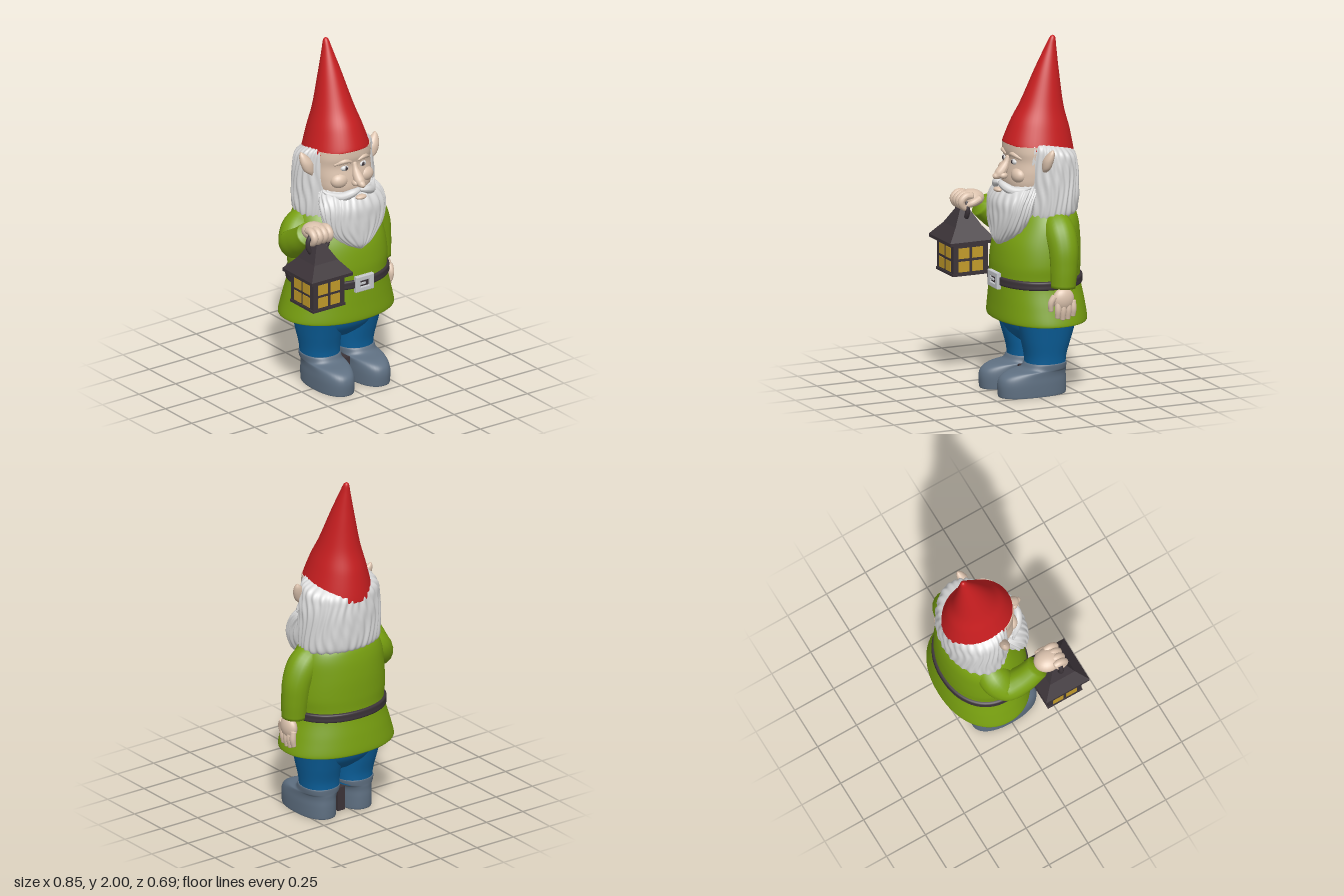
import * as THREE from 'three';

const mat = (name, color) => {
  const m = new THREE.MeshStandardMaterial({ color });
  m.name = name;
  return m;
};
const CX = 0.047; // the figure's own middle line

// Catmull-Rom blend of whole rows of numbers
function blend(rows, t) {
  const f = t * (rows.length - 1), i = Math.min(Math.floor(f), rows.length - 2), u = f - i;
  const at = k => rows[Math.max(0, Math.min(rows.length - 1, k))];
  return rows[i].map((b, k) => {
    const a = at(i - 1)[k], c = at(i + 1)[k], d = at(i + 2)[k];
    return b + 0.5 * u * (c - a + u * (2 * a - 5 * b + 4 * c - d + u * (3 * (b - c) + d - a)));
  });
}

// Skin over horizontal rings [y, centreX, centreZ, radiusX, radiusZ, slope], with flat end caps
function loft(rings, { seg = 48, rows = 32, power = 2, ripple = () => 1 } = {}) {
  const pos = [], idx = [];
  const se = v => Math.sign(v) * Math.pow(Math.abs(v), 2 / power);
  const addRing = t => {
    const [y, cx, cz, rx, rz, slope = 0] = blend(rings, t);
    for (let j = 0; j < seg; j++) {
      const a = j / seg * Math.PI * 2, k = ripple(a, y);
      const z = rz * se(Math.sin(a)) * k;
      pos.push(cx + rx * se(Math.cos(a)) * k, y + slope * z, cz + z);
    }
    return [cx, y, cz];
  };
  for (let i = 0; i <= rows; i++) addRing(i / rows);
  for (let i = 0; i < rows; i++) for (let j = 0; j < seg; j++) {
    const a = i * seg + j, b = i * seg + (j + 1) % seg;
    idx.push(a, a + seg, b, b, a + seg, b + seg);
  }
  for (const end of [0, 1]) {
    const start = pos.length / 3;
    pos.push(...addRing(end));
    for (let j = 0; j < seg; j++) {
      const a = start + j, b = start + (j + 1) % seg, c = start + seg;
      end ? idx.push(c, b, a) : idx.push(c, a, b);
    }
  }
  const g = new THREE.BufferGeometry();
  g.setAttribute('position', new THREE.Float32BufferAttribute(pos, 3));
  g.setIndex(idx);
  g.computeVertexNormals();
  return g;
}

// Tube through [x, y, z, radius] points, closed by small end rows
function limb(points) {
  const curve = new THREE.CatmullRomCurve3(points.map(p => new THREE.Vector3(...p)));
  const n = 28, sides = 18, g = new THREE.TubeGeometry(curve, n, 1, sides), p = g.attributes.position;
  const v = new THREE.Vector3();
  for (let i = 0; i <= n; i++) {
    const c = curve.getPointAt(i / n);
    const r = i === 0 || i === n ? 0.002 : blend(points.map(q => [q[3]]), i / n)[0];
    for (let j = 0; j <= sides; j++) {
      const k = i * (sides + 1) + j;
      v.fromBufferAttribute(p, k).sub(c).multiplyScalar(r).add(c);
      p.setXYZ(k, v.x, v.y, v.z);
    }
  }
  g.computeVertexNormals();
  return g;
}

export function createModel() {
  const model = new THREE.Group();
  model.name = 'gardenGnome';
  const red = mat('hatRed', 0xc81e20), green = mat('tunicGreen', 0x78a010), blue = mat('trouserBlue', 0x0b5f9a);
  const grey = mat('bootGrey', 0x5f7082), dark = mat('darkBrown', 0x3c3439), yellow = mat('lampYellow', 0xc49c2a);
  const skin = mat('skin', 0xdcc3ae), white = mat('hairWhite', 0xd9d9d9), silver = mat('buckleSilver', 0xc6c8cc);
  const add = (name, g, m, parent = model) => {
    const mesh = new THREE.Mesh(g, m);
    mesh.name = name;
    parent.add(mesh);
    return mesh;
  };
  const ball = (name, m, [x, y, z], [sx, sy, sz]) => {
    const mesh = add(name, new THREE.SphereGeometry(1, 24, 16), m);
    mesh.position.set(x, y, z);
    mesh.scale.set(sx, sy, sz);
    return mesh;
  };

  // Hat leaning back to its tip
  add('hat', loft([
    [1.385, CX, -0.0975, 0.17, 0.185, 0.25], [1.37, CX, -0.0975, 0.187, 0.203, 0.25],
    [1.5, CX, -0.107, 0.15, 0.168, 0.18], [1.62, CX, -0.118, 0.112, 0.122, 0.1], [1.8, CX, -0.145, 0.065, 0.072, 0],
    [1.93, CX, -0.171, 0.03, 0.034, 0], [1.985, CX, -0.183, 0.016, 0.017, 0], [2, CX, -0.185, 0.003, 0.003, 0],
  ], { rows: 56 }), red);

  // Hair and beard with wavy strands
  const strands = (n, depth) => (a, y) =>
    1 + depth * Math.sin(a * n + 2.2 * Math.sin(y * 17 + a * 3)) + depth * 0.5 * Math.sin(a * (n - 9) + y * 20);
  add('hair', loft([
    [1.0, 0.052, -0.12, 0.2, 0.15, -0.1], [1.035, 0.052, -0.125, 0.245, 0.176, -0.1], [1.2, 0.052, -0.127, 0.248, 0.18, 0],
    [1.32, 0.052, -0.126, 0.24, 0.174, 0.15], [1.385, 0.052, -0.124, 0.218, 0.166, 0.25], [1.42, 0.052, -0.12, 0.14, 0.14, 0.25],
  ], { seg: 200, rows: 48, ripple: strands(30, 0.018) }), white);
  add('beard', loft([
    [0.845, CX, 0.125, 0.02, 0.03], [0.88, CX, 0.11, 0.09, 0.065], [0.95, CX, 0.095, 0.165, 0.085],
    [1.03, CX, 0.08, 0.2, 0.1], [1.1, CX, 0.065, 0.205, 0.108], [1.16, CX, 0.035, 0.19, 0.1], [1.195, CX, 0.0, 0.15, 0.075],
  ], { seg: 160, rows: 48, ripple: strands(26, 0.025) }), white);

  // Face
  add('face', loft([
    [1.08, CX, -0.08, 0.13, 0.14], [1.18, CX, -0.075, 0.168, 0.175], [1.25, CX, -0.075, 0.178, 0.174],
    [1.32, CX, -0.075, 0.176, 0.162], [1.37, CX, -0.075, 0.176, 0.17], [1.41, CX, -0.075, 0.172, 0.17],
  ], { power: 2.5 }), skin);
  add('nose', limb([
    [CX, 1.345, 0.085, 0.012], [CX, 1.3, 0.1, 0.018], [CX, 1.255, 0.13, 0.028], [CX, 1.235, 0.155, 0.028], [CX, 1.228, 0.182, 0.012],
  ]), skin);
  ball('lowerLip', skin, [CX, 1.155, 0.15], [0.035, 0.014, 0.022]);
  for (const s of [-1, 1]) {
    const side = s > 0 ? 'left' : 'right', X = d => CX + s * d;
    ball(side + 'Nostril', skin, [X(0.022), 1.235, 0.125], [0.018, 0.018, 0.024]);
    ball(side + 'Cheek', skin, [X(0.085), 1.245, 0.062], [0.055, 0.045, 0.042]);
    ball(side + 'Eye', white, [X(0.06), 1.318, 0.076], [0.026, 0.017, 0.018]);
    ball(side + 'Iris', dark, [X(0.058), 1.318, 0.088], [0.011, 0.012, 0.008]);
    add(side + 'Brow', limb([
      [X(0.02), 1.348, 0.088, 0.008], [X(0.06), 1.362, 0.088, 0.014], [X(0.12), 1.34, 0.055, 0.008],
    ]), skin);
    add(side + 'Moustache', limb([
      [X(-0.003), 1.197, 0.135, 0.014], [X(0.04), 1.188, 0.14, 0.023], [X(0.1), 1.163, 0.105, 0.025],
      [X(0.15), 1.172, 0.055, 0.016], [X(0.178), 1.19, 0.03, 0.005],
    ]), white);
    // Pointed ear, tip swept outwards
    add(side + 'Ear', loft([
      [1.27, X(0.2), -0.04, 0.006, 0.008], [1.3, X(0.215), -0.045, 0.03, 0.022], [1.345, X(0.226), -0.052, 0.038, 0.028],
      [1.385, X(0.242), -0.062, 0.024, 0.02], [1.408, X(0.252), -0.068, 0.005, 0.006],
    ], { seg: 24 }), skin);
  }

  // Tunic with a hem turned under
  add('tunic', loft([
    [0.5, CX, -0.0875, 0.27, 0.2], [0.43, CX, -0.0875, 0.325, 0.238], [0.425, CX, -0.0875, 0.343, 0.256],
    [0.52, CX, -0.083, 0.318, 0.25], [0.645, CX, -0.075, 0.284, 0.238], [0.75, CX, -0.077, 0.29, 0.238],
    [0.87, CX, -0.088, 0.278, 0.226], [0.98, CX, -0.11, 0.255, 0.192], [1.05, CX, -0.12, 0.205, 0.155], [1.1, CX, -0.12, 0.1, 0.09],
  ], { seg: 64, rows: 60, power: 2.15 }), green);
  add('belt', loft([
    [0.618, CX, -0.075, 0.275, 0.23], [0.624, CX, -0.075, 0.296, 0.249], [0.645, CX, -0.075, 0.297, 0.25],
    [0.666, CX, -0.075, 0.296, 0.249], [0.672, CX, -0.075, 0.275, 0.23],
  ], { seg: 64, rows: 16, power: 2.15 }), dark);
  const frame = new THREE.Shape([[-1, -1], [1, -1], [1, 1], [-1, 1]].map(([x, y]) => new THREE.Vector2(x * 0.056, y * 0.041)));
  frame.holes.push(new THREE.Path([[-1, -1], [-1, 1], [1, 1], [1, -1]].map(([x, y]) => new THREE.Vector2(x * 0.036, y * 0.023))));
  add('buckle', new THREE.ExtrudeGeometry(frame, { depth: 0.02, bevelSize: 0.005, bevelThickness: 0.004, bevelSegments: 2 }), silver)
    .position.set(0.05, 0.646, 0.163);
  add('bucklePin', new THREE.BoxGeometry(0.045, 0.01, 0.01), silver).position.set(0.035, 0.646, 0.179);

  // Left arm hanging at the side
  add('leftSleeve', limb([
    [0.2, 1.0, -0.11, 0.07], [0.275, 0.955, -0.112, 0.088], [0.33, 0.86, -0.115, 0.084],
    [0.346, 0.75, -0.112, 0.077], [0.35, 0.62, -0.105, 0.07],
  ]), green);
  ball('leftPalm', skin, [0.377, 0.575, -0.095], [0.036, 0.065, 0.064]);
  for (let i = 0; i < 4; i++) {
    const z = -0.15 + i * 0.031, low = [0.475, 0.46, 0.458, 0.47][i];
    add('leftFinger', limb([[0.385, 0.57, z, 0.016], [0.39, 0.52, z, 0.018], [0.383, low, z, 0.014]]), skin);
  }
  add('leftThumb', limb([[0.38, 0.6, -0.045, 0.02], [0.375, 0.56, -0.022, 0.018], [0.37, 0.51, -0.022, 0.013]]), skin);

  // Right arm bent forward, fist around the lantern ring
  add('rightSleeve', limb([
    [-0.1, 1.0, -0.13, 0.07], [-0.18, 0.94, -0.125, 0.092], [-0.245, 0.875, -0.08, 0.085],
    [-0.27, 0.92, 0.01, 0.076], [-0.275, 1.005, 0.115, 0.068],
  ]), green);
  ball('rightPalm', skin, [-0.28, 1.035, 0.165], [0.07, 0.05, 0.08]);
  for (let i = 0; i < 4; i++) {
    const x = -0.336 + i * 0.035;
    add('rightFinger', limb([
      [x, 1.055, 0.17, 0.02], [x, 1.058, 0.215, 0.022], [x, 1.03, 0.242, 0.021], [x, 0.995, 0.225, 0.018], [x, 0.99, 0.19, 0.014],
    ]), skin);
  }
  add('rightThumb', limb([[-0.225, 1.04, 0.13, 0.022], [-0.216, 1.02, 0.18, 0.02], [-0.235, 1.0, 0.22, 0.015]]), skin);

  // Lantern
  const lantern = new THREE.Group();
  lantern.name = 'lantern';
  lantern.position.set(-0.29, 0, 0.208);
  model.add(lantern);
  const box = (name, w, h, d, y) => add(name, new THREE.BoxGeometry(w, h, d), dark, lantern).position.set(0, y, 0);
  box('lanternBody', 0.212, 0.185, 0.212, 0.712);
  box('lanternBase', 0.222, 0.014, 0.222, 0.627);
  box('lanternEaves', 0.28, 0.018, 0.28, 0.809);
  const roofPart = (top, bottom, y0, y1) => {
    const g = new THREE.CylinderGeometry(top * Math.SQRT2, bottom * Math.SQRT2, y1 - y0, 4).toNonIndexed();
    g.rotateY(Math.PI / 4);
    g.computeVertexNormals();
    add('lanternRoof', g, dark, lantern).position.y = (y0 + y1) / 2;
  };
  roofPart(0.08, 0.14, 0.818, 0.89);
  roofPart(0.028, 0.08, 0.89, 0.98);
  add('lanternRing', new THREE.TorusGeometry(0.068, 0.014, 12, 32), dark, lantern).position.y = 0.985;
  for (let f = 0; f < 4; f++) {
    const wall = new THREE.Group();
    wall.name = 'lanternWindow';
    wall.rotation.y = f * Math.PI / 2;
    lantern.add(wall);
    for (const sx of [-1, 1]) for (const sy of [-1, 1])
      add('windowPane', new THREE.BoxGeometry(0.066, 0.06, 0.006), yellow, wall).position.set(sx * 0.042, 0.71 + sy * 0.038, 0.106);
  }

  // Trousers and boots
  add('trouserSeat', loft([
    [0.27, CX, -0.085, 0.1, 0.08], [0.33, CX, -0.085, 0.215, 0.15], [0.4, CX, -0.085, 0.255, 0.183], [0.51, CX, -0.085, 0.262, 0.19],
  ], { power: 2.2 }), blue);
  for (const s of [-1, 1]) {
    const side = s > 0 ? 'left' : 'right', X = d => CX + s * d;
    add(side + 'TrouserLeg', loft([
      [0.15, X(0.113), -0.085, 0.105, 0.113], [0.22, X(0.115), -0.084, 0.109, 0.118],
      [0.31, X(0.122), -0.085, 0.117, 0.142], [0.41, X(0.13), -0.085, 0.125, 0.17],
    ], { power: 2.2 }), blue);
    add(side + 'Boot', loft([
      [0, X(0.122), 0, 0.1, 0.197], [0.012, X(0.122), 0, 0.102, 0.2], [0.07, X(0.122), 0.001, 0.103, 0.202],
      [0.11, X(0.121), -0.006, 0.102, 0.193], [0.135, X(0.119), -0.03, 0.104, 0.17], [0.148, X(0.116), -0.07, 0.107, 0.13],
      [0.175, X(0.115), -0.083, 0.109, 0.118], [0.18, X(0.115), -0.083, 0.104, 0.114],
    ], { power: 2.3, rows: 42 }), grey);
  }
  add('bootGap', new THREE.BoxGeometry(0.05, 0.14, 0.16), dark).position.set(CX, 0.071, -0.06);
  return model;
}
